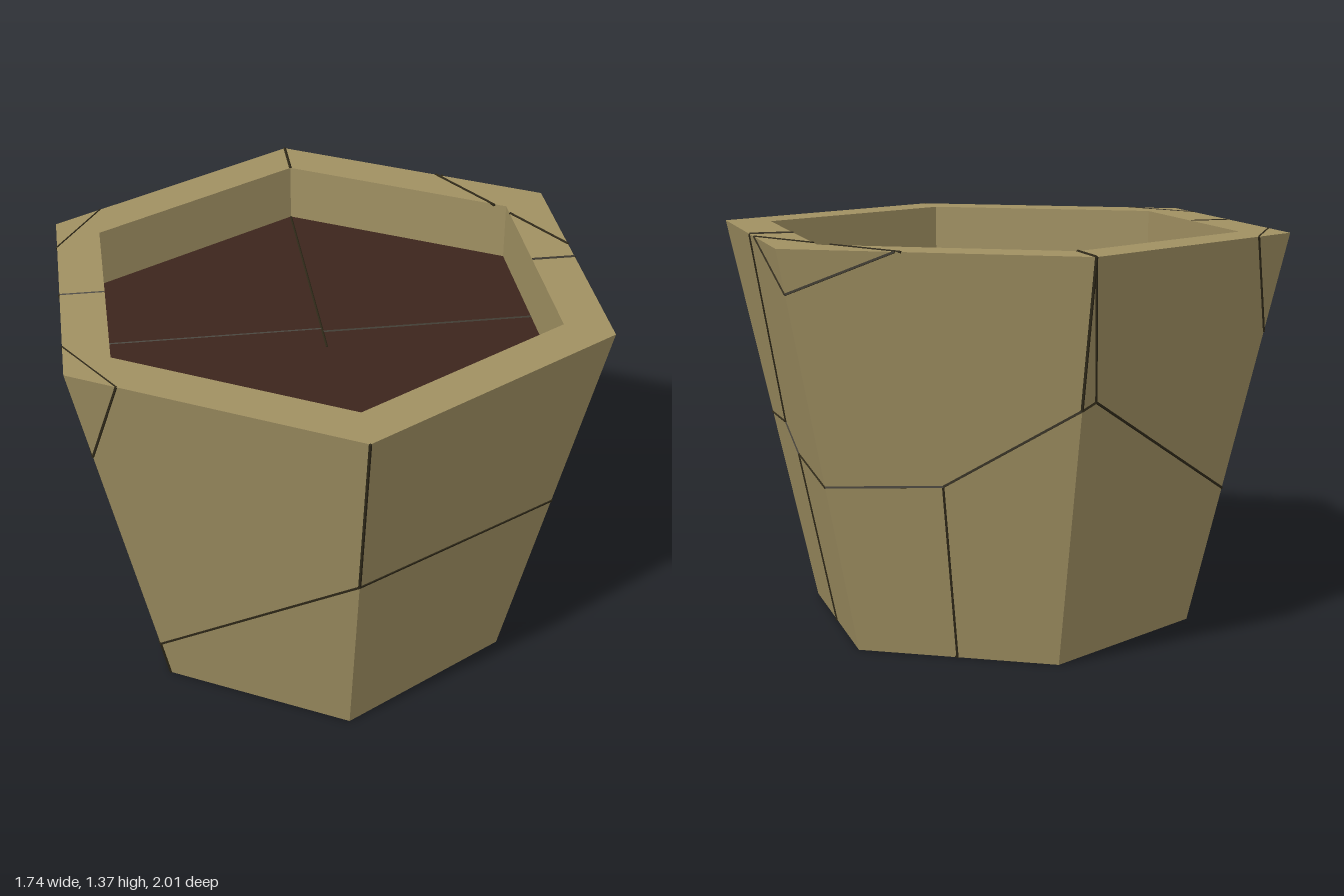
import * as THREE from 'three';

const H = 1.365, R0 = 0.68, R1 = 1, RI = 0.83, SOIL = 1.165;
const radiusAt = y => R0 + (R1 - R0) * y / H;

// Point on the six-sided outer wall; side is +1 or -1 in x.
function onWall(side, y, z) {
  const r = radiusAt(y);
  const zc = THREE.MathUtils.clamp(z, -r, r);
  return new THREE.Vector3(side * Math.min(0.866 * r, (r - Math.abs(zc)) * 1.732), y, zc);
}

export function createModel() {
  const group = new THREE.Group();
  const clay = new THREE.MeshStandardMaterial({ color: 0xa09062, flatShading: true });
  const earth = new THREE.MeshStandardMaterial({ color: 0x3c251c, flatShading: true });
  const dark = new THREE.MeshStandardMaterial({ color: 0x2e2818, flatShading: true });

  // Hexagonal tapered pot with a thick rim and straight inner wall
  const profile = [[0, 0], [R0, 0], [R1, H], [RI, H], [RI, SOIL - 0.05]]
    .map(([r, y]) => new THREE.Vector2(r, y));
  const pot = new THREE.Mesh(new THREE.LatheGeometry(profile, 6), clay);
  pot.name = 'pot';
  group.add(pot);

  // Soil filling
  const soil = new THREE.Mesh(new THREE.CylinderGeometry(RI, RI, 0.05, 6), earth);
  soil.position.y = SOIL - 0.025;
  soil.name = 'soil';
  group.add(soil);

  // Hairline cracks: thin dark rods half sunk in the surface
  const cracks = new THREE.Group();
  cracks.name = 'cracks';
  group.add(cracks);
  function crack(points, radius = 0.005) {
    for (let i = 1; i < points.length; i++) {
      const a = points[i - 1], dir = points[i].clone().sub(a);
      const rod = new THREE.Mesh(new THREE.CylinderGeometry(radius, radius, dir.length(), 4), dark);
      rod.position.copy(a).addScaledVector(dir, 0.5);
      rod.quaternion.setFromUnitVectors(new THREE.Vector3(0, 1, 0), dir.normalize());
      rod.name = 'crack';
      cracks.add(rod);
    }
  }
  const wallCrack = (side, pts) => crack(pts.map(([y, z]) => onWall(side, y, z)));
  const flatCrack = (y, pts, radius) => crack(pts.map(([x, z]) => new THREE.Vector3(x, y, z)), radius);

  // Cracks on the left half of the wall
  wallCrack(1, [[H, 1], [0.72, 0.849], [0.675, 0.419], [0.69, 0.14], [0.605, 0],
    [0.58, -0.408], [0.605, -0.61], [0.88, -0.886], [H, -1]]);
  wallCrack(1, [[0.69, 0.14], [H, -0.02]]);
  wallCrack(1, [[0.605, 0], [0, 0]]);
  wallCrack(1, [[0.605, -0.61], [0, -0.51]]);
  wallCrack(1, [[H, -0.11], [1.22, -0.483], [H, -0.69]]);

  // Cracks on the right half of the wall
  wallCrack(-1, [[0.72, 0.849], [0.15, 0.358], [0.42, 0], [0.48, -0.396], [0.9, -0.86], [0.88, -0.886]]);
  wallCrack(-1, [[0.9, -0.86], [H, -1]]);
  wallCrack(-1, [[0.42, 0], [H, 0]]);
  wallCrack(-1, [[0.15, 0.358], [0, 0.34]]);
  for (const s of [-1, 1]) {
    wallCrack(-1, [[H, s * 0.33], [1.03, s * 0.461], [H, s * 0.59]]);
    flatCrack(H, [[-0.866, s * 0.33], [-0.71, s * 0.59]], 0.003);
  }

  // Cracks across the rim
  flatCrack(H, [[0, -1], [0, -RI]]);
  flatCrack(H, [[0.866, -0.02], [0.72, -0.02]]);
  flatCrack(H, [[0.52, -0.7], [0.68, -0.43]]);
  flatCrack(H, [[0.72, -0.36], [0.866, -0.11]]);
  flatCrack(H, [[-0.866, 0], [-0.72, 0]], 0.003);

  // Cracks in the soil
  flatCrack(SOIL, [[0, 0.12], [0, -RI]], 0.004);
  flatCrack(SOIL, [[0, 0.02], [0.72, 0.02]], 0.004);
  flatCrack(SOIL, [[0, 0], [-0.72, 0]], 0.003);

  // Cracks in the underside
  for (const end of [[-0.589, 0.34], [0.589, 0], [0.3, -0.51]]) flatCrack(0.003, [[0, 0], end], 0.004);

  return group;
}
